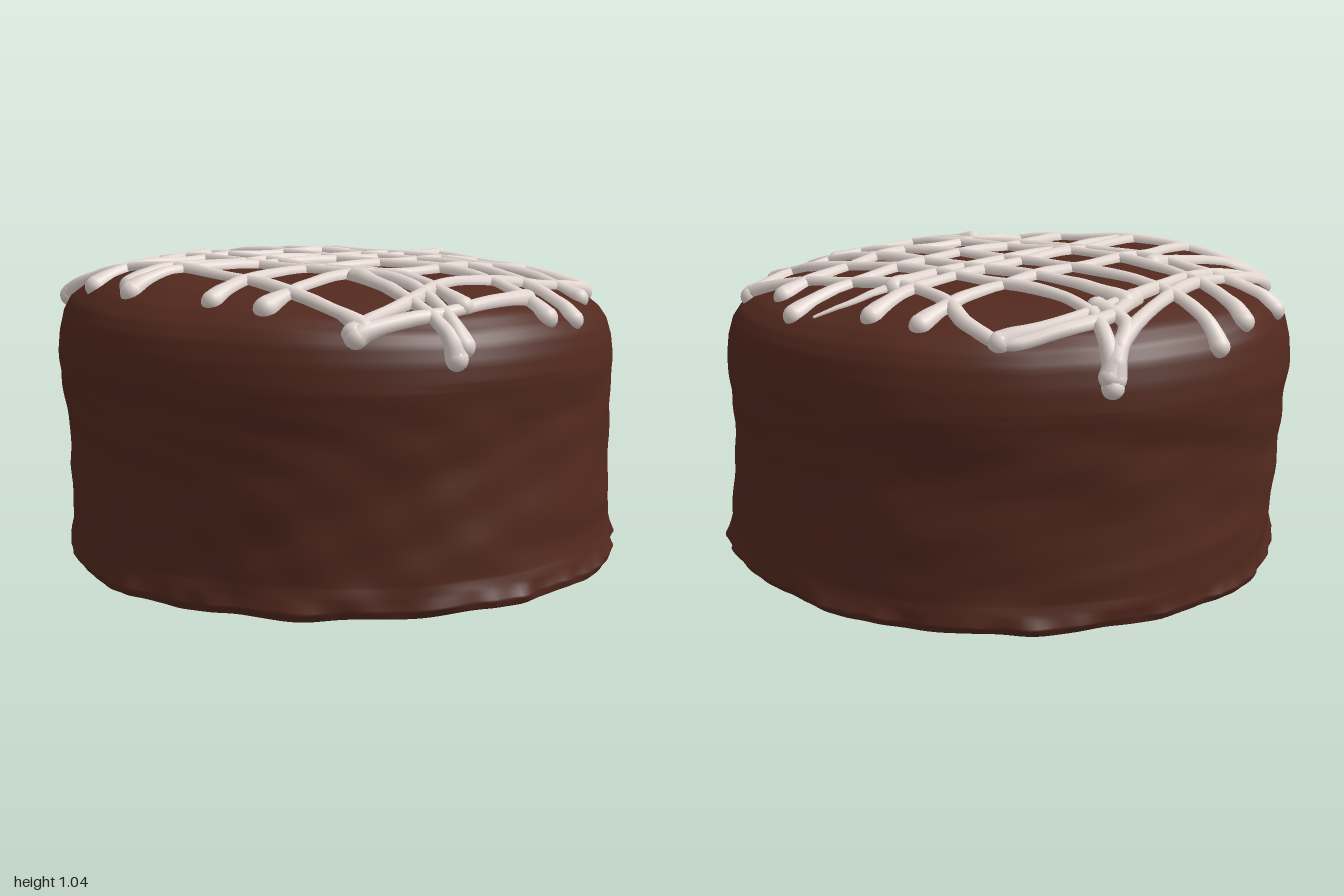
import * as THREE from 'three';
import { mergeVertices } from 'three/addons/utils/BufferGeometryUtils.js';

// Outline radius every 22.5 degrees, from the front (+z) round through +x
const OUTLINE = [0.962, 0.952, 0.96, 0.965, 0.957, 0.96, 0.968, 0.955,
  0.942, 0.96, 0.968, 0.985, 0.996, 0.985, 0.962, 0.952];

// Side and top profile: [fraction of outline radius, height]
const BASE = [[0, 0.014], [0.5, 0.014], [0.9, 0.014], [0.97, 0.014], [0.992, 0.02], [1.003, 0.045],
  [0.996, 0.075], [0.986, 0.12], [0.983, 0.25], [0.979, 0.45], [0.987, 0.58], [1, 0.69], [1, 0.72]];
const TOP = [[1, 0.72], [0.993, 0.78], [0.976, 0.84], [0.95, 0.88], [0.9, 0.918], [0.82, 0.95],
  [0.72, 0.978], [0.6, 0.995], [0.4, 1.005], [0.2, 1.01], [0, 1.01]];

function outline(x, z) {
  const a = ((Math.atan2(x, z) / (Math.PI * 2) + 1) % 1) * 16;
  const i = Math.floor(a) % 16, f = a - Math.floor(a);
  const s = (1 - Math.cos(f * Math.PI)) / 2;
  return OUTLINE[i] * (1 - s) + OUTLINE[(i + 1) % 16] * s;
}

// Gentle hand-dipped unevenness, with ripples that run round the side
function wobble(x, y, z) {
  const u = x + 0.2 * Math.sin(5 * y + 4 * z), w = z + 0.2 * Math.sin(6 * y - 3 * x);
  return Math.sin(5 * u + 4 * y + 1) * Math.sin(6 * w - 5 * y) * 0.5 +
    Math.sin(8 * u - 12 * y + 3 * w) * Math.sin(7 * w + 14 * y + 2) * 0.5 +
    Math.sin(13 * u + 17 * y) * Math.sin(11 * w - 20 * y + 1) * 0.3;
}

// Top slopes down to +x and has a fuller shoulder at the front
function topShape(x, z, y) {
  const fade = Math.min(1, (y - 0.72) * 6);
  const shoulder = 0.026 * Math.exp(-(((z - 0.73) / 0.15) ** 2) - ((x + 0.1) / 0.5) ** 2);
  return y + fade * (0.008 * wobble(x, 1, z) - 0.025 * x + shoulder);
}

// Height of the coated top at a point
function topY(x, z) {
  const t = Math.min(Math.hypot(x, z) / outline(x, z), 0.995);
  let i = 1;
  while (i < TOP.length - 2 && TOP[i + 1][0] > t) i++;
  const [a, b] = [TOP[i], TOP[i + 1]];
  return topShape(x, z, a[1] + (b[1] - a[1]) * (a[0] - t) / (a[0] - b[0]));
}

function subdivide(profile, n) {
  return profile.slice(0, -1).flatMap((p, i) => Array.from({ length: n }, (_, k) => new THREE.Vector2(
    p[0] + (profile[i + 1][0] - p[0]) * k / n, p[1] + (profile[i + 1][1] - p[1]) * k / n)));
}

function cakeGeometry() {
  const points = [...subdivide(BASE, 6), ...subdivide(TOP, 4), new THREE.Vector2(0, 1.01)];
  let geo = new THREE.LatheGeometry(points, 240);
  const pos = geo.attributes.position;
  for (let i = 0; i < pos.count; i++) {
    let x = pos.getX(i), y = pos.getY(i), z = pos.getZ(i);
    const t = Math.hypot(x, z), R = outline(x, z);
    x *= R;
    z *= R;
    if (y > 0.72) {
      y = topShape(x, z, y);
    } else {
      const side = Math.min(1, Math.max(0, (t - 0.9) * 14));
      const angle = Math.atan2(x, z);
      // ragged foot where the coating pooled
      const foot = Math.max(0, 1 - Math.abs(y - 0.045) / 0.04) * side;
      const ragged = Math.sin(angle * 23 + 2 * Math.sin(angle * 5)) * Math.sin(angle * 9 + 1) +
        0.4 * Math.sin(angle * 47 + 3 * Math.sin(angle * 4));
      const fade = Math.min(1, (0.72 - y) * 8);
      const k = 1 + side * fade * 0.012 * wobble(x, y, z) + foot * 0.009 * ragged;
      const lean = Math.max(0, 0.72 - y) / 0.72;
      // underside lifts towards the sides and back
      const low = Math.max(0, 1 - y / 0.2);
      y += low * (0.016 * x * x + 0.018 * Math.max(0, -z) + side * 0.004 * Math.sin(angle * 17));
      x = x * k + 0.027 * lean;
      z = z * k - 0.014 * lean;
    }
    pos.setXYZ(i, x, y, z);
  }
  geo.deleteAttribute('uv');
  geo.deleteAttribute('normal');
  geo = mergeVertices(geo, 1e-4);
  geo.computeVertexNormals();
  return geo;
}

// Icing strands as [x, z] paths over the top
const LENGTHWISE = [
  [[-0.31, -0.77], [-0.32, -0.4], [-0.34, 0.2], [-0.32, 0.78]],
  [[-0.13, -0.79], [-0.11, -0.45], [-0.1, -0.2], [-0.11, 0.2], [-0.1, 0.55], [-0.1, 0.8]],
  [[-0.04, -0.6], [-0.01, -0.25], [-0.04, 0.3], [-0.05, 0.83]],
  [[0.17, -0.83], [0.16, -0.5], [0.2, -0.03], [0.19, 0.35], [0.27, 0.77]],
  [[0.35, -0.71], [0.38, -0.45], [0.43, -0.03], [0.39, 0.35], [0.44, 0.71]],
  [[0.59, -0.65], [0.66, -0.4], [0.65, -0.1], [0.63, 0.1], [0.69, 0.35], [0.69, 0.6]],
  [[0.8, -0.05], [0.79, 0.3], [0.7, 0.6]],
  [[-0.81, -0.52], [-0.77, -0.25], [-0.72, 0.05], [-0.71, 0.35], [-0.65, 0.64]],
  [[-0.55, -0.7], [-0.65, -0.5], [-0.69, -0.2], [-0.66, 0.1], [-0.67, 0.35], [-0.64, 0.64]],
  [[-0.47, 0.2], [-0.49, 0.45], [-0.52, 0.6], [-0.59, 0.7]],
];
const CROSSWISE = [
  [[0.58, -0.64], [0.25, -0.59], [-0.1, -0.59], [-0.3, -0.64], [-0.42, -0.7], [-0.56, -0.7],
    [-0.65, -0.58], [-0.72, -0.4], [-0.7, -0.25]],
  [[-0.82, -0.52], [-0.65, -0.42], [-0.3, -0.4], [0.2, -0.37], [0.5, -0.4], [0.76, -0.39]],
  [[-0.82, -0.51], [-0.77, -0.39], [-0.66, -0.38]],
  [[-0.7, -0.29], [-0.3, -0.25], [0.25, -0.22], [0.6, -0.22], [0.89, -0.18]],
  [[-0.95, -0.16], [-0.7, -0.1], [-0.35, -0.07], [0.2, -0.02], [0.5, -0.07], [0.89, -0.04]],
  [[-0.94, 0], [-0.7, 0.1], [-0.3, 0.2], [0.2, 0.23], [0.55, 0.21], [0.79, 0.24]],
  [[-0.9, 0.27], [-0.7, 0.25], [-0.3, 0.3], [0.2, 0.31], [0.5, 0.26], [0.88, 0.34]],
  [[0.44, 0.33], [0.65, 0.36], [0.88, 0.37]],
  [[-0.58, 0.7], [-0.35, 0.65], [0, 0.62], [0.4, 0.6], [0.7, 0.57]],
];
const WISP = [[0.08, -0.83], [0.02, -0.74], [-0.04, -0.6]];

// Piped line draped on the top; swell(distance from start, from end) scales its radius
function strand(path, radius, lift, swell, material, name) {
  const group = new THREE.Group();
  group.name = name;
  const flat = new THREE.CatmullRomCurve3(path.map(([x, z]) => new THREE.Vector3(x, 0, z)), false, 'centripetal');
  const draped = flat.getSpacedPoints(36).map((p) => p.setY(topY(p.x, p.z) + lift));
  const curve = new THREE.CatmullRomCurve3(draped);
  const length = curve.getLength(), rows = 90, sides = 10;
  const geo = new THREE.TubeGeometry(curve, rows, radius, sides);
  const pos = geo.attributes.position, v = new THREE.Vector3();
  for (let i = 0; i < pos.count; i++) {
    const u = Math.floor(i / (sides + 1)) / rows;
    const centre = curve.getPointAt(u);
    v.fromBufferAttribute(pos, i).sub(centre).multiplyScalar(swell(u * length, (1 - u) * length)).add(centre);
    pos.setXYZ(i, v.x, v.y, v.z);
  }
  const line = new THREE.Mesh(geo, material);
  line.name = name + 'Line';
  group.add(line);
  // rounded caps where the piping starts and stops
  [[draped[0], swell(0, length)], [draped[draped.length - 1], swell(length, 0)]].forEach(([p, s]) => {
    const cap = new THREE.Mesh(new THREE.SphereGeometry(radius * s, 14, 10), material);
    cap.position.copy(p);
    cap.name = name + 'End';
    group.add(cap);
  });
  return group;
}

export function createModel() {
  const chocolate = new THREE.MeshStandardMaterial({ color: 0x53291e });
  chocolate.name = 'chocolate';
  const icing = new THREE.MeshStandardMaterial({ color: 0xe1d5cf });
  icing.name = 'icing';

  const model = new THREE.Group();
  model.name = 'icedCake';

  const cake = new THREE.Mesh(cakeGeometry(), chocolate);
  cake.name = 'chocolateCake';
  model.add(cake);

  const lattice = new THREE.Group();
  lattice.name = 'icingLattice';
  const beaded = (a, b) => 1 + 0.45 * Math.exp(-((Math.min(a, b) / 0.06) ** 2)) + 0.08 * Math.sin(a * 14);
  const tapered = (a, b) => 0.25 + 0.75 * a / (a + b);
  LENGTHWISE.forEach((p) => lattice.add(strand(p, 0.025, 0.001, beaded, icing, 'lengthwiseStrand')));
  CROSSWISE.forEach((p) => lattice.add(strand(p, 0.024, 0.004, beaded, icing, 'crosswiseStrand')));
  lattice.add(strand(WISP, 0.02, 0.003, tapered, icing, 'thinWisp'));
  model.add(lattice);

  return model;
}
